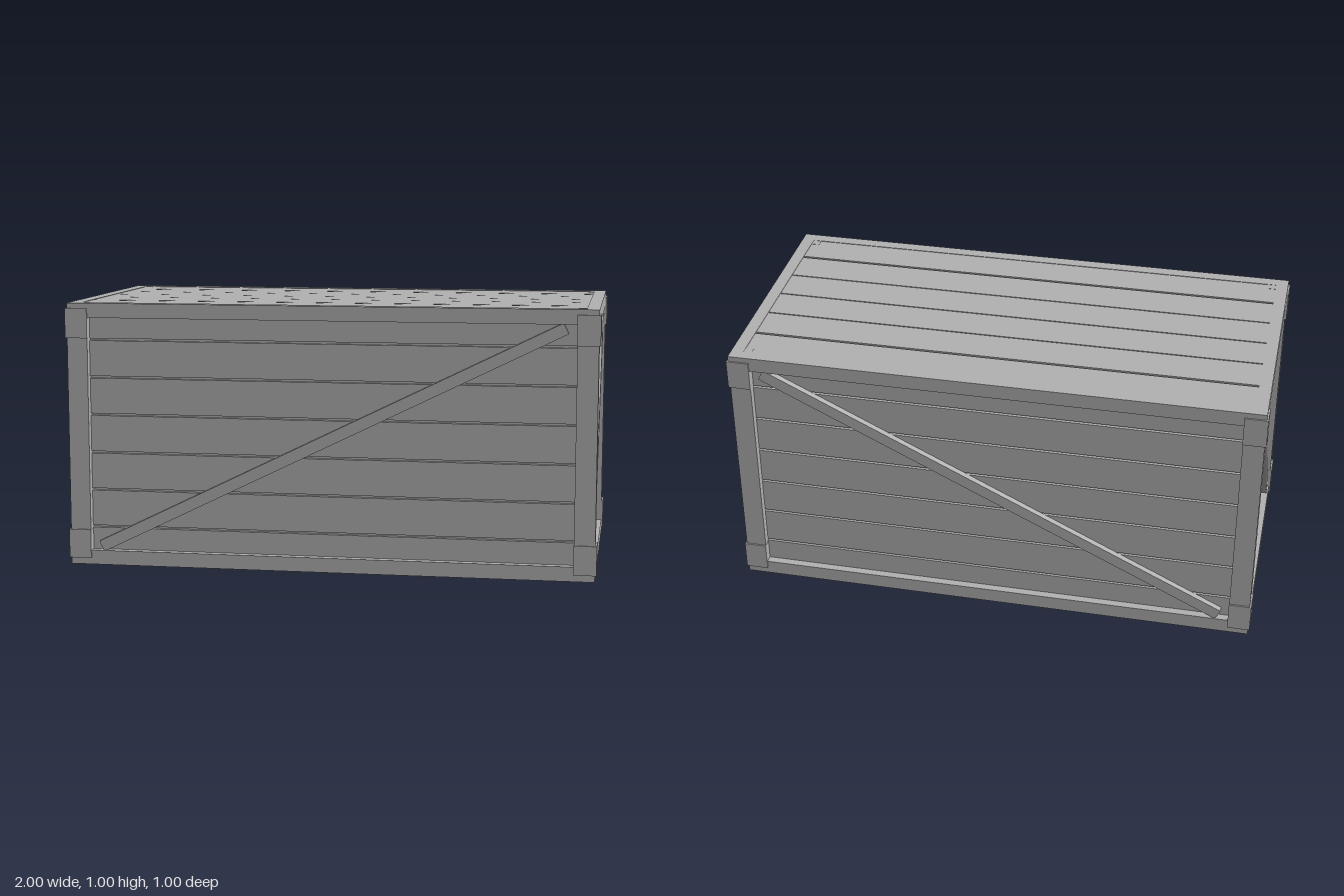
import * as THREE from 'three';

export function createModel() {
  const model = new THREE.Group();
  model.name = 'crate';
  const gray = new THREE.MeshStandardMaterial({ color: 0xb2b2b2 });
  gray.name = 'gray';

  const X = 0.994, Z = 0.494;       // outer half sizes of the frame
  const POST = 0.08, RAIL = 0.055;  // post and rail widths
  const RECESS = 0.03;              // depth of the side panels behind the frame

  function box(name, x0, x1, y0, y1, z0, z1) {
    const mesh = new THREE.Mesh(new THREE.BoxGeometry(x1 - x0, y1 - y0, z1 - z0), gray);
    mesh.position.set((x0 + x1) / 2, (y0 + y1) / 2, (z0 + z1) / 2);
    mesh.name = name;
    model.add(mesh);
    return mesh;
  }

  // Solid core seen at the bottom of every plank gap, and as the recessed floor
  const px = X - RECESS, pz = Z - RECESS;
  box('core', -px + 0.015, px - 0.015, 0.03, 0.98, -pz + 0.015, pz - 0.015);

  // Rails around the top and the bottom
  for (const [y0, y1, level] of [[0, RAIL, 'bottom'], [1 - RAIL, 1, 'top']]) {
    for (const s of [-1, 1]) {
      const a = s * X, b = s * (X - 0.047);
      box(level + 'EndRail', Math.min(a, b), Math.max(a, b), y0, y1, -Z, Z);
      const c = s * Z, d = s * (Z - 0.047);
      box(level + 'LongRail', -X + 0.047, X - 0.047, y0, y1, Math.min(c, d), Math.max(c, d));
    }
  }

  // Corner posts with protruding metal brackets
  for (const sx of [-1, 1]) for (const sz of [-1, 1]) {
    const span = (s, outer, width) => s > 0 ? [outer - width, outer] : [-outer, width - outer];
    box('cornerPost', ...span(sx, X, POST - 0.002), 0.001, 0.999, ...span(sz, Z, POST - 0.002));
    for (const [y0, y1] of [[0.025, 0.135], [0.868, 0.98]]) {
      box('cornerBracket', ...span(sx, 1, 0.085), y0, y1, ...span(sz, 0.5, 0.085));
    }
  }

  // Horizontal planks on the four sides
  const gaps = [0.143, 0.287, 0.43, 0.575, 0.718, 0.861];
  const edges = [0.04, ...gaps, 0.96];
  for (let i = 0; i < edges.length - 1; i++) {
    const y0 = edges[i] + 0.004, y1 = edges[i + 1] - 0.004;
    for (const s of [-1, 1]) {
      const zs = [s * pz, s * (pz - 0.02)].sort((a, b) => a - b);
      box('longSidePlank', -px, px, y0, y1, ...zs);
      const xs = [s * px, s * (px - 0.02)].sort((a, b) => a - b);
      box('endPlank', ...xs, y0, y1, -pz + 0.02, pz - 0.02);
    }
  }

  // Lid planks, nearly flush with the rails
  const lid = [[-0.447, -0.31], [-0.3, -0.153], [-0.148, -0.0025],
    [0.0025, 0.148], [0.153, 0.3], [0.31, 0.447]];
  for (const [z0, z1] of lid) box('lidPlank', -X + 0.047, X - 0.047, 0.97, 0.998, z0, z1);

  // Diagonal braces, rising towards +x on the long sides and -z on the ends
  const DEPTH = 0.024;
  function brace(name, half, rise, width) {
    const length = 2 * Math.hypot(half, rise);
    const geometry = new THREE.BoxGeometry(length, width, DEPTH);
    geometry.rotateZ(Math.atan2(rise, half));
    const mesh = new THREE.Mesh(geometry, gray);
    mesh.name = name;
    model.add(mesh);
    return mesh;
  }
  for (const s of [-1, 1]) {
    brace('longSideBrace', 0.875, 0.43, 0.044).position.set(0, 0.5, s * (pz + DEPTH / 2));
    const end = brace('endBrace', 0.385, 0.431, 0.05);
    end.rotation.y = Math.PI / 2;
    end.position.set(s * (px + DEPTH / 2), 0.5, 0);
  }
  return model;
}
